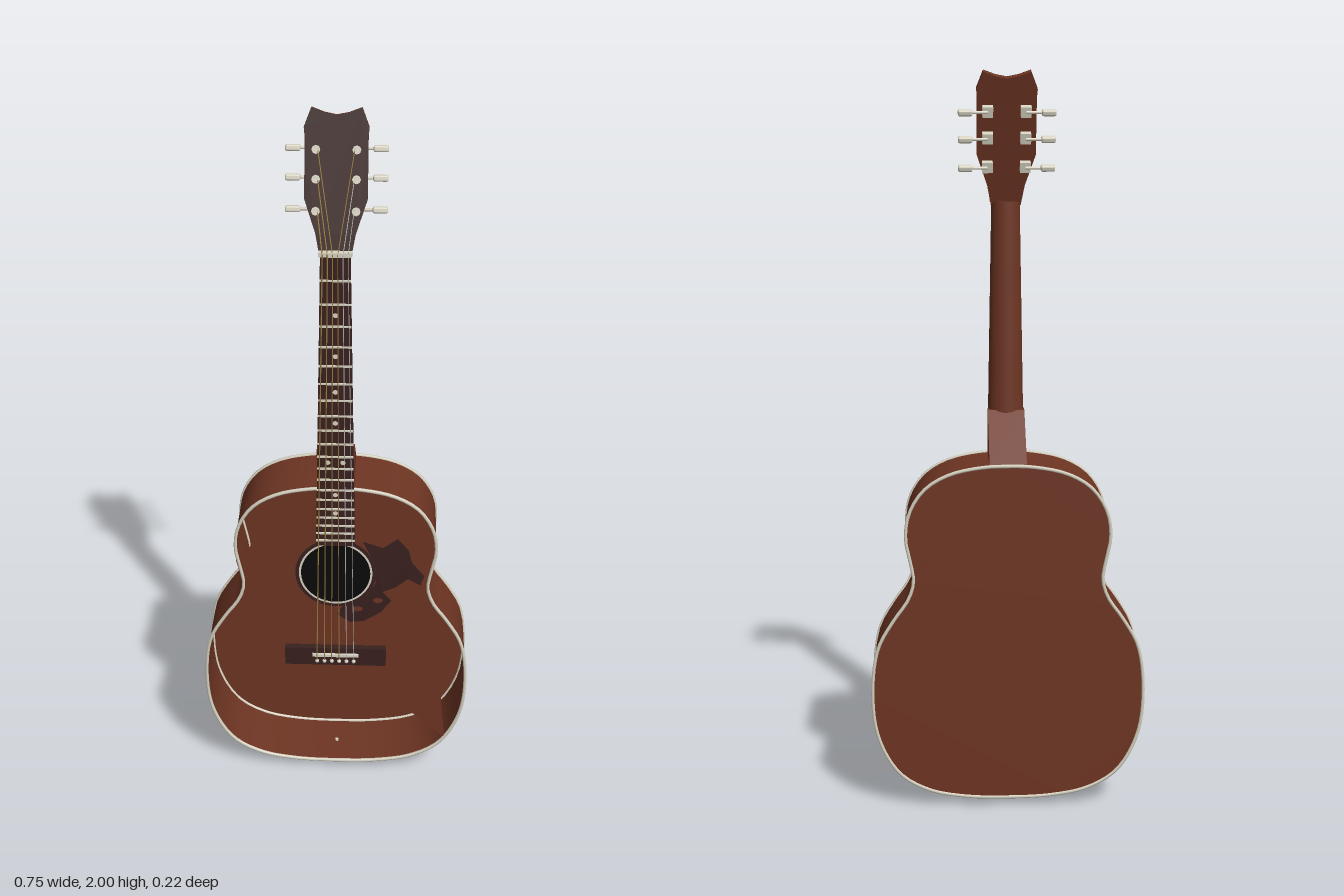
import * as THREE from 'three';
import { RoundedBoxGeometry } from 'three/addons/geometries/RoundedBoxGeometry.js';

const mat = (name, color, side = THREE.FrontSide) => {
  const m = new THREE.MeshStandardMaterial({ color, side });
  m.name = name;
  return m;
};

export function createModel() {
  const wood = mat('reddish wood', 0x6e3523, THREE.DoubleSide);
  const dark = mat('dark rosewood', 0x38211f, THREE.DoubleSide);
  const black = mat('sound hole black', 0x0b0a0a);
  const cream = mat('cream trim', 0xd9d4c3);
  const gold = mat('wound string', 0xa08040);
  const steel = mat('plain string', 0xc4c4c0);

  const model = new THREE.Group();
  model.name = 'guitar';
  const add = (name, geo, material, x = 0, y = 0, z = 0, parent = model) => {
    const mesh = new THREE.Mesh(geo, material);
    mesh.name = name;
    mesh.position.set(x, y, z);
    parent.add(mesh);
    return mesh;
  };
  const box = (w, h, d) => new THREE.BoxGeometry(w, h, d);
  const polygon = (pts) => new THREE.Shape(pts.map(([x, y]) => new THREE.Vector2(x, y)));
  const extrude = (shape, depth) =>
    new THREE.ExtrudeGeometry(shape, { depth, bevelEnabled: false });
  const rod = (name, a, b, r, material, parent = model) => {
    const p = new THREE.Vector3(...a), q = new THREE.Vector3(...b);
    const mesh = add(name, new THREE.CylinderGeometry(r, r, p.distanceTo(q), 8), material, 0, 0, 0, parent);
    mesh.position.copy(p).lerp(q, 0.5);
    mesh.quaternion.setFromUnitVectors(new THREE.Vector3(0, 1, 0), q.sub(p).normalize());
    return mesh;
  };

  // Body outline: one half, mirrored
  const FRONT = 0.08, BACK = -0.105;
  const half = [[0.12, 0.029], [0.22, 0.05], [0.3, 0.1], [0.355, 0.2], [0.371, 0.32], [0.355, 0.46],
    [0.312, 0.54], [0.272, 0.598], [0.256, 0.65], [0.265, 0.71], [0.276, 0.77], [0.266, 0.84],
    [0.225, 0.905], [0.16, 0.945], [0.07, 0.965]];
  const loop = [[0, 0.024], ...half, [0, 0.968], ...half.map(([x, y]) => [-x, y]).reverse()];
  const outline = new THREE.CatmullRomCurve3(
    loop.map(([x, y]) => new THREE.Vector3(x, y, 0)), true);
  const ring = outline.getPoints(96);

  // Side walls
  const pos = [], idx = [];
  ring.forEach((p, i) => {
    pos.push(p.x, p.y, FRONT, p.x, p.y, BACK);
    if (i < ring.length - 1) {
      const a = i * 2;
      idx.push(a, a + 1, a + 2, a + 2, a + 1, a + 3);
    }
  });
  const wall = new THREE.BufferGeometry();
  wall.setAttribute('position', new THREE.Float32BufferAttribute(pos, 3));
  wall.setIndex(idx);
  wall.computeVertexNormals();
  add('bodySides', wall, wood);

  // Back plate, and a front plate with open corners
  const back = new THREE.ShapeGeometry(new THREE.Shape(ring.slice(0, -1).map(p => new THREE.Vector2(p.x, p.y))));
  back.rotateY(Math.PI);
  add('bodyBack', back, wood, 0, 0, BACK);
  const front = polygon([[0.318, 0.12], [0.272, 0.598], [0.256, 0.65], [0.265, 0.71], [0.276, 0.77],
    [0.266, 0.84], [0.07, 0.965], [-0.07, 0.965], [-0.276, 0.73], [-0.256, 0.65]]);
  add('bodyFront', new THREE.ShapeGeometry(front), wood, 0, 0, FRONT);

  // Edge binding
  for (const z of [FRONT, BACK + 0.001])
    add('binding', new THREE.TubeGeometry(outline, 120, 0.005, 6, true), cream, 0, 0, z);

  // Sound hole and rosette
  const HOLE = 0.695;
  add('soundHole', new THREE.CircleGeometry(0.1, 40), black, 0, HOLE, FRONT + 0.002);
  add('rosetteInner', new THREE.RingGeometry(0.096, 0.102, 40), cream, 0, HOLE, FRONT + 0.003);
  add('rosetteOuter', new THREE.RingGeometry(0.102, 0.112, 40), dark, 0, HOLE, FRONT + 0.002);

  // Pickguard, an irregular leafy plate wrapped around the hole
  const guard = polygon([[0.075, 0.8], [0.13, 0.78], [0.17, 0.81], [0.2, 0.775], [0.21, 0.735],
    [0.245, 0.69], [0.235, 0.66], [0.2, 0.68], [0.165, 0.65], [0.13, 0.635], [0.155, 0.605],
    [0.125, 0.565], [0.08, 0.535], [0.04, 0.53], [0.005, 0.555], [0.02, 0.585], [0.06, 0.6],
    [0.09, 0.625], [0.11, 0.66], [0.112, 0.71], [0.1, 0.745]]);
  for (const [x, y] of [[0.062, 0.575], [0.118, 0.605]]) {
    const cut = new THREE.Path();
    cut.absellipse(x, y, 0.014, 0.009, 0, Math.PI * 2, true);
    guard.holes.push(cut);
  }
  add('pickguard', extrude(guard, 0.002), dark, 0, 0, FRONT);

  // Bridge, saddle and pins
  add('bridge', box(0.286, 0.058, 0.018), dark, 0, 0.419, FRONT + 0.009);
  add('saddle', box(0.13, 0.008, 0.01), cream, 0, 0.427, 0.101);
  const stringX = (i, spread) => (i - 2.5) / 2.5 * spread;
  for (let i = 0; i < 6; i++)
    add('bridgePin', new THREE.SphereGeometry(0.006, 8, 6), cream, stringX(i, 0.052), 0.405, 0.1);

  // Strap pin at the bottom
  rod('strapPin', [0, 0.03, -0.01], [0, 0.006, -0.01], 0.005, cream);
  rod('strapPinCap', [0, 0.007, -0.01], [0, 0, -0.01], 0.009, cream);

  // Neck: rounded back, with a wedge heel
  const NUT = 1.655, halfWidth = (y) => 0.038 + (NUT - y) * 0.0175;
  const neckLow = 0.97, neckLen = NUT - neckLow;
  const neck = new THREE.CylinderGeometry(halfWidth(NUT), halfWidth(neckLow), neckLen, 20, 1, false,
    Math.PI / 2, Math.PI);
  neck.scale(1, 1, 0.85);
  add('neck', neck, wood, 0, neckLow + neckLen / 2, 0.083);
  const heel = extrude(polygon([[0.083, 0.962], [0.083, 1.09], [0.05, 1.09], [-0.1, 0.968], [-0.1, 0.962]]), 0.1);
  heel.translate(0, 0, -0.05);
  heel.rotateY(-Math.PI / 2);
  add('heel', heel, wood);

  // Fingerboard, frets and position dots
  const low = 0.795;
  const board = polygon([[-halfWidth(low), low], [halfWidth(low), low],
    [halfWidth(NUT), NUT], [-halfWidth(NUT), NUT]]);
  add('fingerboard', extrude(board, 0.014), dark, 0, 0, 0.083);
  const SCALE = 1.228, fretY = (n) => NUT - SCALE * (1 - 2 ** (-n / 12));
  for (let n = 1; n <= 20; n++)
    add('fret', box(halfWidth(fretY(n)) * 2, 0.005, 0.005), cream, 0, fretY(n), 0.098);
  const dot = (x, n) => add('positionDot', new THREE.CircleGeometry(0.007, 12), cream,
    x, (fretY(n) + fretY(n - 1)) / 2, 0.0978);
  [3, 5, 7, 9, 15, 17].forEach(n => dot(0, n));
  [-0.02, 0.02].forEach(x => dot(x, 12));
  add('nut', box(0.084, 0.012, 0.022), cream, 0, NUT + 0.003, 0.095);

  // Headstock, leaning back from the nut
  const tilt = 0.268, head = new THREE.Group();
  head.name = 'headstock';
  head.position.set(0, NUT, 0.092);
  head.rotation.x = -tilt;
  model.add(head);
  const headHalf = [[0.04, -0.004], [0.05, 0.05], [0.078, 0.135], [0.078, 0.29], [0.08, 0.31], [0.062, 0.357]];
  const headShape = polygon([...headHalf, [0.03, 0.345], [0, 0.339], [-0.03, 0.345],
    ...headHalf.map(([x, y]) => [-x, y]).reverse()]);
  add('headstockCore', extrude(headShape, 0.02), wood, 0, 0, -0.022, head);
  add('headstockFace', extrude(headShape, 0.002), dark, 0, 0, -0.002, head);

  // Tuners
  const tunerY = [0.106, 0.184, 0.256];
  for (const s of [-1, 1]) for (const y of tunerY) {
    rod('tunerPost', [s * 0.05, y, -0.03], [s * 0.05, y, 0.016], 0.006, cream, head);
    rod('tunerWasher', [s * 0.05, y, -0.001], [s * 0.05, y, 0.003], 0.011, cream, head);
    add('tunerHousing', box(0.028, 0.028, 0.022), cream, s * 0.05, y, -0.033, head);
    rod('tunerShaft', [s * 0.05, y, -0.044], [s * 0.1, y, -0.044], 0.004, cream, head);
    add('tunerButton', new RoundedBoxGeometry(0.038, 0.016, 0.022, 2, 0.005), cream, s * 0.109, y, -0.044, head);
  }

  // Strings: saddle to nut, then on to the posts
  head.updateMatrix();
  for (let i = 0; i < 6; i++) {
    const material = i < 4 ? gold : steel, r = 0.0016 - i * 0.00015;
    const nutPoint = [stringX(i, 0.032), NUT + 0.003, 0.106];
    rod('string', [stringX(i, 0.052), 0.405, 0.1], [stringX(i, 0.052), 0.427, 0.107], r, material);
    rod('string', [stringX(i, 0.052), 0.427, 0.107], nutPoint, r, material);
    const y = tunerY[i < 3 ? i : 5 - i];
    const post = new THREE.Vector3(i < 3 ? -0.045 : 0.045, y, 0.01).applyMatrix4(head.matrix);
    rod('stringEnd', nutPoint, post.toArray(), r, material);
  }
  return model;
}
